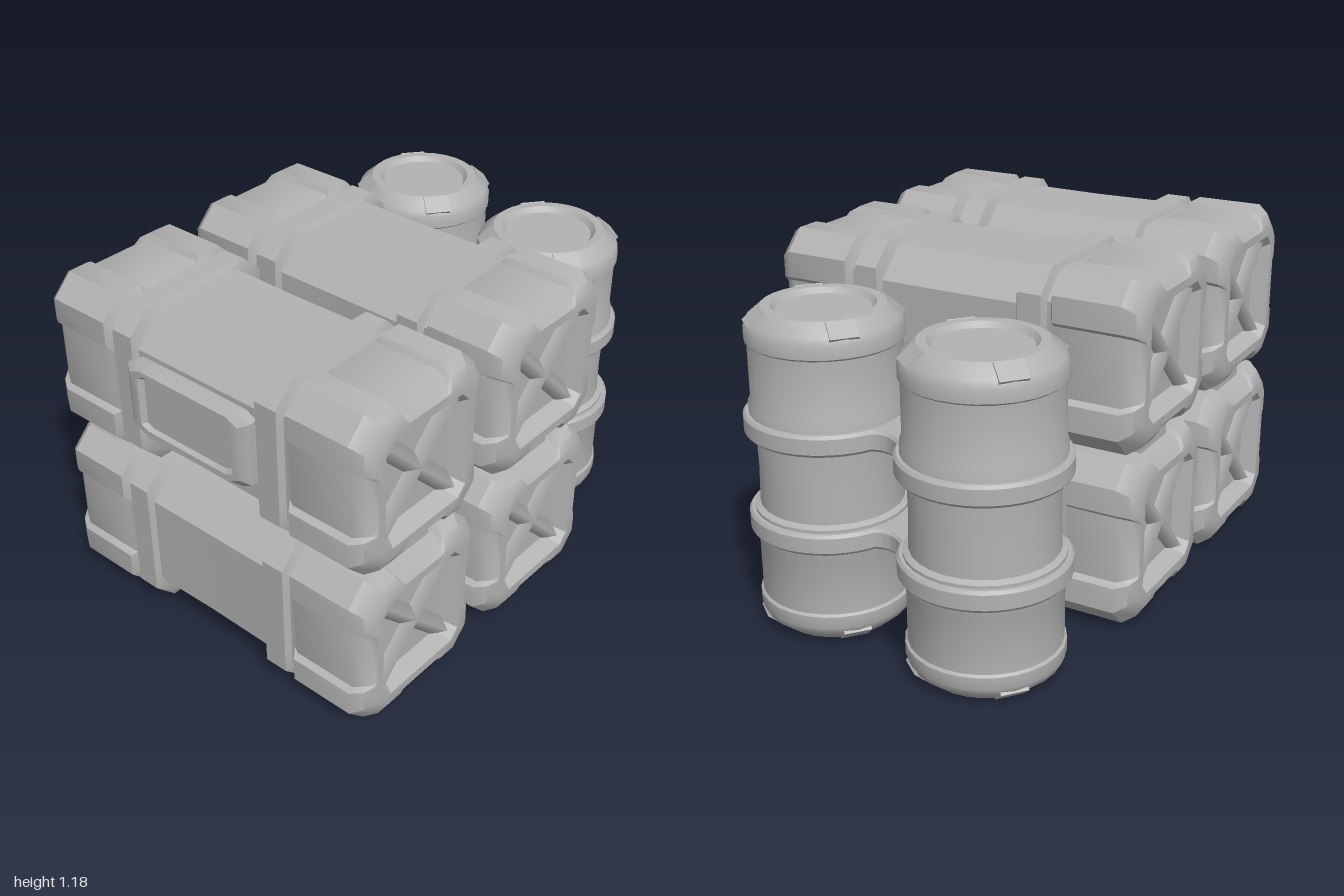
import * as THREE from 'three';
import { toCreasedNormals } from 'three/addons/utils/BufferGeometryUtils.js';

const grey = new THREE.MeshStandardMaterial({ color: 0xb2b2b2 });
grey.name = 'light grey';

function add(parent, name, geometry, x = 0, y = 0, z = 0) {
  const mesh = new THREE.Mesh(geometry, grey);
  mesh.name = name;
  mesh.position.set(x, y, z);
  parent.add(mesh);
  return mesh;
}

// Chamfered square outline, with an optional dent in the middle of each side
function section(h, c, d) {
  const m = h * 0.45, pts = [];
  const side = [[h, c - h], [h, -m], [h - d, 0.015 - m], [h - d, m - 0.015], [h, m], [h, h - c]];
  for (let k = 0; k < 4; k++) {
    const cs = [1, 0, -1, 0][k], sn = [0, 1, 0, -1][k];
    for (const [x, y] of side) pts.push([x * cs - y * sn, x * sn + y * cs]);
  }
  return pts;
}

// Skin through stations [z, half size, chamfer, dent], closed at both ends
function loft(stations, sx = 1, sy = 1) {
  const pos = [], idx = [], n = 24, last = stations.length - 1;
  for (const [z, h, c, d] of stations) for (const [x, y] of section(h, c, d)) pos.push(x * sx, y * sy, z);
  for (let i = 0; i < last; i++) for (let j = 0; j < n; j++) {
    const a = i * n + j, b = i * n + (j + 1) % n;
    idx.push(a, b, b + n, a, b + n, a + n);
  }
  pos.push(0, 0, stations[0][0], 0, 0, stations[last][0]);
  const c0 = (last + 1) * n;
  for (let j = 0; j < n; j++) {
    const k = (j + 1) % n;
    idx.push(c0, k, j, c0 + 1, last * n + j, last * n + k);
  }
  const g = new THREE.BufferGeometry();
  g.setAttribute('position', new THREE.Float32BufferAttribute(pos, 3));
  g.setIndex(idx);
  return toCreasedNormals(g, 0.6);
}

// Crate: sunken middle, raised bands, guarded ends with recessed faces
const half = [
  [0, 0.264, 0.1, 0], [0.25, 0.266, 0.1, 0], [0.262, 0.284, 0.075, 0], [0.345, 0.284, 0.075, 0],
  [0.355, 0.262, 0.075, 0], [0.37, 0.262, 0.075, 0], [0.385, 0.286, 0.07, 0.018], [0.615, 0.286, 0.07, 0.018],
  [0.655, 0.262, 0.07, 0.018], [0.675, 0.23, 0.06, 0.01], [0.675, 0.19, 0.035, 0], [0.62, 0.16, 0.03, 0],
];
const crateGeometry = loft([...half.slice(1).reverse().map(([z, ...r]) => [-z, ...r]), ...half]);

function crate(parent, name, x, y) {
  const g = new THREE.Group();
  g.name = name;
  g.position.set(x, y, 0.025);
  parent.add(g);
  add(g, 'crateBody', crateGeometry);
  // Crossed ribs on both end faces
  for (const s of [-1, 1]) {
    for (const t of [-1, 1]) {
      const rib = add(g, 'crossRib', new THREE.CylinderGeometry(0.034, 0.034, 0.46, 4), 0, 0, s * 0.622);
      rib.rotation.z = t * Math.PI / 4;
    }
  }
}

// Drum: bevelled ends with a sunken lid, two lips and a slimmer waist
const drumProfile = [
  [0, 0.03], [0.15, 0.03], [0.165, 0.012], [0.195, 0.012], [0.24, 0.05], [0.25, 0.075], [0.25, 0.115],
  [0.242, 0.122], [0.242, 0.3], [0.25, 0.32], [0.25, 0.42], [0.232, 0.43], [0.229, 0.545],
];
const mirrored = drumProfile.slice(0, -1).reverse().map(([r, y]) => [r, 1.09 - y]);
const drumGeometry = toCreasedNormals(
  new THREE.LatheGeometry([...drumProfile, ...mirrored].map(p => new THREE.Vector2(...p)), 28), 0.55);

function drum(parent, name, x, z) {
  const g = new THREE.Group();
  g.name = name;
  g.position.set(x, 0, z);
  parent.add(g);
  add(g, 'drumBody', drumGeometry);
  // Clips over both bevelled rims
  for (let i = 0; i < 4; i++) {
    const a = i * Math.PI / 2 + 0.68;
    for (const s of [-1, 1]) {
      const clip = add(g, 'rimClip', new THREE.BoxGeometry(0.065, 0.025, 0.09),
        Math.cos(a) * 0.214, 0.545 + s * 0.504, Math.sin(a) * 0.214);
      clip.rotation.order = 'YXZ';
      clip.rotation.set(0, -a, -s * 0.7);
    }
  }
}

// Clamp outline wrapping both drums and reaching back to the mounting plate
function clampGeometry(c1, c2, r) {
  const rad = THREE.MathUtils.degToRad, s = new THREE.Shape();
  s.moveTo(0.41, -0.42);
  s.absarc(c1[0], c1[1], r, rad(-135), rad(72), false);
  s.quadraticCurveTo(0.78, -0.018, c2[0] + r * Math.cos(rad(-65)), c2[1] + r * Math.sin(rad(-65)));
  s.absarc(c2[0], c2[1], r, rad(-65), rad(125), false);
  s.lineTo(0.41, 0.41);
  s.closePath();
  const g = new THREE.ExtrudeGeometry(s, {
    depth: 0.05, bevelEnabled: true, bevelThickness: 0.01, bevelSize: 0.008, bevelSegments: 1, curveSegments: 14,
  });
  g.rotateX(Math.PI / 2);
  return toCreasedNormals(g, 0.5);
}

export function createModel() {
  const model = new THREE.Group();
  model.name = 'cargoStack';
  const stack = new THREE.Group();
  stack.name = 'cratesAndDrums';
  stack.rotation.y = 0.684;
  model.add(stack);

  // Two by two crates with spacers between the layers
  for (const [side, x] of [['right', -0.515], ['left', 0.125]]) {
    crate(stack, side + 'LowerCrate', x, 0.306);
    crate(stack, side + 'UpperCrate', x, 0.902);
    for (const z of [-0.49, 0.54]) add(stack, 'stackSpacer', new THREE.BoxGeometry(0.2, 0.08, 0.19), x, 0.604, z);
  }

  // Framed panel on the outer side of one upper crate
  const panel = add(stack, 'sidePanel', loft([
    [0, 0.13, 0.02, 0], [0.055, 0.13, 0.02, 0], [0.075, 0.115, 0.02, 0], [0.075, 0.1, 0.015, 0], [0.06, 0.092, 0.012, 0],
  ], 2, 1), -0.758, 0.92, 0.015);
  panel.rotation.y = -Math.PI / 2;

  // Drums, clamps and mounting plate
  const c1 = [0.755, -0.325], c2 = [0.7, 0.28];
  drum(stack, 'backDrum', ...c1);
  drum(stack, 'frontDrum', ...c2);
  const clamp = clampGeometry(c1, c2, 0.26);
  for (const y of [0.4, 0.73]) add(stack, 'drumClamp', clamp, 0, y, 0);
  add(stack, 'mountingPlate', new THREE.BoxGeometry(0.1, 0.56, 0.82), 0.45, 0.56, -0.005);

  return model;
}
